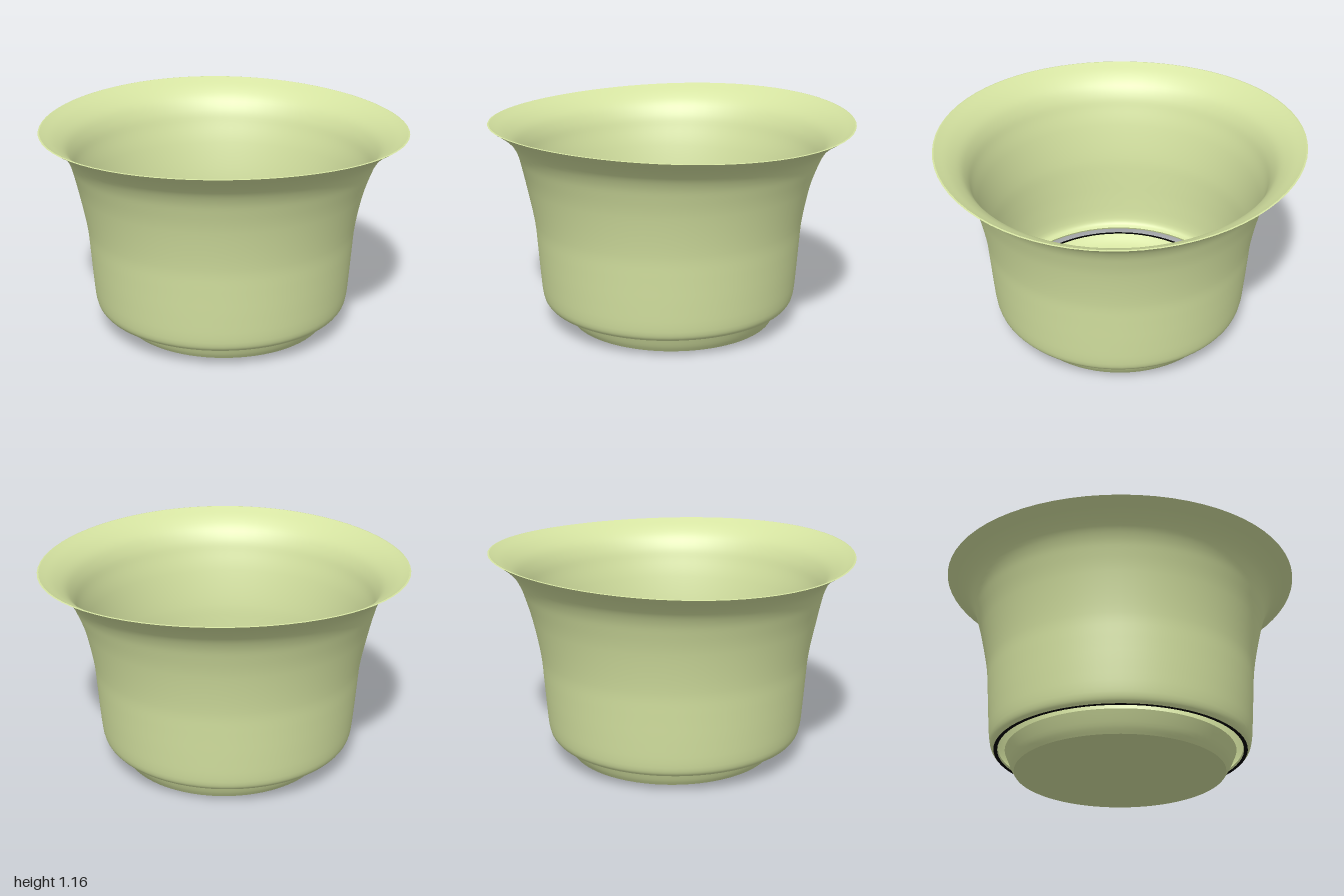
import * as THREE from 'three';

const SEGMENTS = 72;

// Slightly hand-made shape: body a little off axis, rim gently saddle shaped
function settle(geometry) {
  const p = geometry.attributes.position;
  for (let i = 0; i < p.count; i++) {
    const x = p.getX(i), y = p.getY(i), z = p.getZ(i);
    const rim = THREE.MathUtils.smoothstep(y, 0.75, 1.12);
    const lean = THREE.MathUtils.smoothstep(y, 0, 0.1) * (1 - rim);
    p.setXYZ(
      i,
      x - 0.018 * lean,
      y + rim * (0.034 * z * z - 0.01 * z - 0.004 * x),
      z * (1 - 0.01 * rim) + 0.008 * lean
    );
  }
  return geometry;
}

function turned(name, points, material) {
  const profile = points.map(([r, y]) => new THREE.Vector2(r, y));
  const mesh = new THREE.Mesh(settle(new THREE.LatheGeometry(profile, SEGMENTS)), material);
  mesh.name = name;
  return mesh;
}

// Smooth curve through a few [radius, height] points
function smooth(points, count) {
  const curve = new THREE.CatmullRomCurve3(
    points.map(([r, y]) => new THREE.Vector3(r, y, 0)), false, 'centripetal');
  return curve.getPoints(count).map((v) => [Math.max(0, v.x), v.y]);
}

function paint(name, color) {
  const material = new THREE.MeshStandardMaterial({ color, side: THREE.DoubleSide });
  material.name = name;
  return material;
}

export function createModel() {
  const group = new THREE.Group();
  group.name = 'flaredPot';

  const green = paint('pale green', 0xd5e3a1);
  const black = paint('black', 0x000000);

  // Flared wall: outside going up, inside going down
  const outside = [
    [0.684, 0.116], [0.698, 0.135], [0.708, 0.17], [0.72, 0.3], [0.731, 0.46], [0.742, 0.59],
    [0.783, 0.8], [0.812, 0.9], [0.836, 0.965], [0.87, 1.021], [0.927, 1.073], [1.0, 1.12],
  ];
  const inside = [
    [0.992, 1.122], [0.918, 1.081], [0.858, 1.03], [0.822, 0.97], [0.799, 0.9], [0.77, 0.8],
    [0.729, 0.59], [0.718, 0.46], [0.709, 0.3], [0.697, 0.175], [0.684, 0.143], [0.66, 0.127],
  ];
  group.add(turned('outerWall', smooth(outside, 44), green));
  group.add(turned('rimEdge', [[1.0, 1.12], [0.992, 1.122]], green));
  group.add(turned('innerWall', smooth(inside, 44), green));

  // Dark cut face under the wall
  group.add(turned('wallFootInner', [[0.66, 0.127], [0.664, 0.116]], green));
  group.add(turned('wallCutFace', [[0.664, 0.116], [0.684, 0.116]], black));

  // Separate shallow base dish, with an open gap to the wall
  group.add(turned('baseUnderside', [[0, 0.002], [0.3, 0.003], [0.57, 0.01]], green));
  group.add(turned('baseSide',
    smooth([[0.57, 0.01], [0.59, 0.04], [0.609, 0.08], [0.624, 0.115]], 8), green));
  group.add(turned('baseCutFace', [[0.624, 0.115], [0.608, 0.115]], black));
  group.add(turned('baseInside',
    smooth([[0.608, 0.115], [0.54, 0.078], [0.42, 0.046], [0.25, 0.021], [0.1, 0.012], [0, 0.011]], 24), green));

  return group;
}
